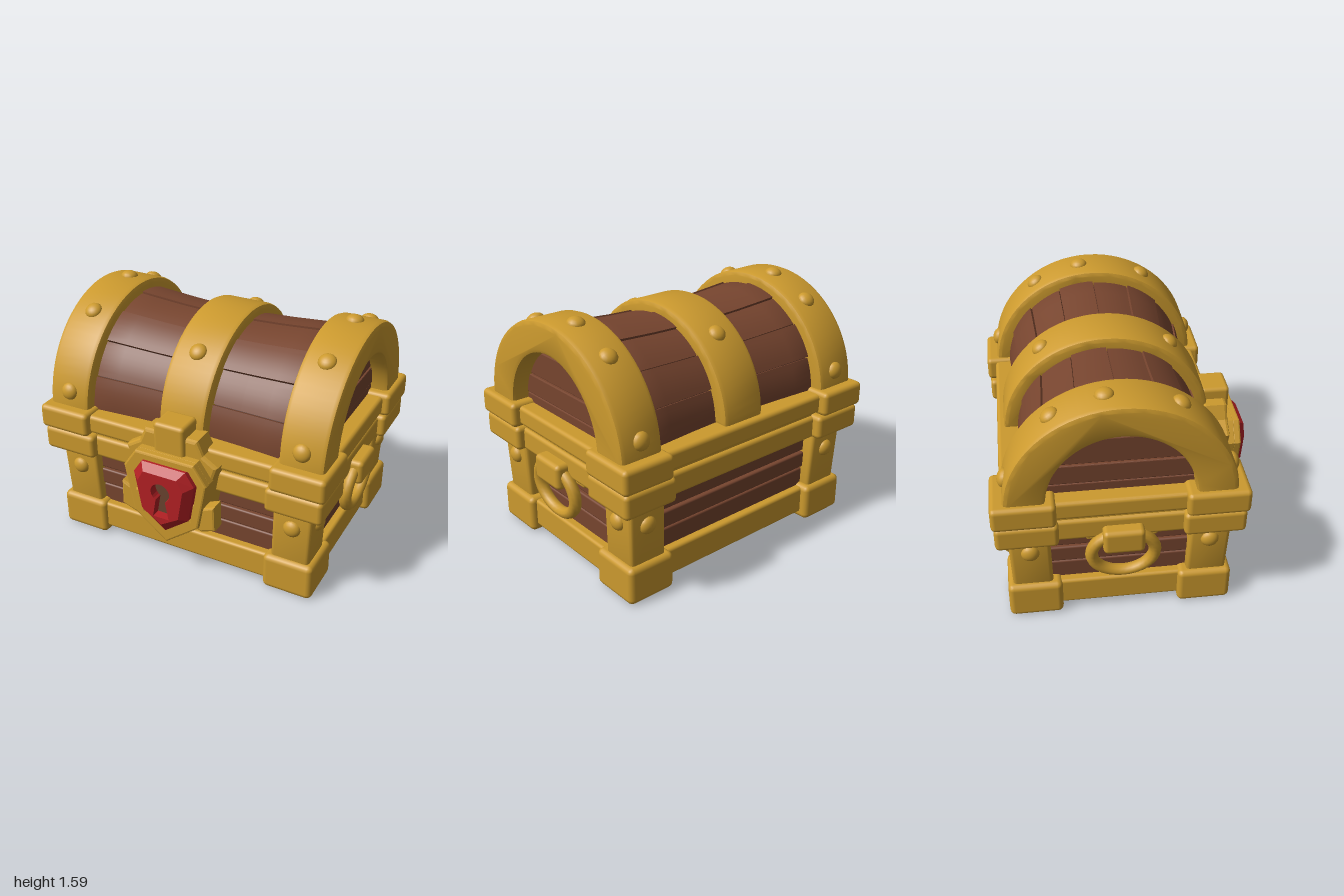
import * as THREE from 'three';
import { toCreasedNormals } from 'three/addons/utils/BufferGeometryUtils.js';
import { RoundedBoxGeometry } from 'three/addons/geometries/RoundedBoxGeometry.js';

const ZC = -0.08;   // middle of the chest front to back
const LID = 0.9;    // height where the lid's curve starts

export function createModel() {
  const root = new THREE.Group();
  const material = (name, color) => {
    const m = new THREE.MeshStandardMaterial({ color });
    m.name = name;
    return m;
  };
  const gold = material('gold', 0xcc9a2e);
  const wood = material('wood', 0x77452f);
  const seam = material('dark wood', 0x4c2b1f);
  const red = material('red gem', 0xb32024);
  const keyBrown = material('keyhole brown', 0x69432f);

  const add = (name, geometry, mat, parent = root) => {
    const mesh = new THREE.Mesh(geometry, mat);
    mesh.name = name;
    parent.add(mesh);
    return mesh;
  };
  // Rounded box given by its limits
  const box = (name, x0, x1, y0, y1, z0, z1, mat, r = 0.02) => {
    const g = new RoundedBoxGeometry(x1 - x0, y1 - y0, z1 - z0, 2, r);
    g.translate((x0 + x1) / 2, (y0 + y1) / 2, (z0 + z1) / 2);
    return add(name, g, mat);
  };
  const extrude = (shape, depth, bevel, steps = 1) => new THREE.ExtrudeGeometry(shape, {
    depth: depth - 2 * bevel, steps, bevelEnabled: bevel > 0, bevelSize: bevel,
    bevelThickness: bevel, bevelOffset: -bevel, bevelSegments: 2, curveSegments: 24,
  }).translate(0, 0, bevel);
  const bend = (g, rule) => {
    const p = g.attributes.position, v = new THREE.Vector3();
    for (let i = 0; i < p.count; i++) {
      rule(v.fromBufferAttribute(p, i));
      p.setXYZ(i, v.x, v.y, v.z);
    }
    return toCreasedNormals(g, 0.6);
  };
  // Turns a profile drawn in (-z, y) so that it runs along x from x0
  const along = (g, x0) => g.rotateY(Math.PI / 2).translate(x0, LID, ZC);
  const arc = (rz, ry, a0, a1, n) => Array.from({ length: n + 1 }, (_, i) => {
    const a = a0 + (a1 - a0) * i / n;
    return new THREE.Vector2(Math.cos(a) * rz, Math.sin(a) * ry);
  });
  const sector = (rz, ry, iz, iy, a0, a1, n) => new THREE.Shape(
    [...arc(rz, ry, a0, a1, n), ...arc(iz, iy, a1, a0, n)]);
  const bolt = (x, y, z, normal) => {
    const m = add('bolt', new THREE.SphereGeometry(0.057, 16, 6, 0, Math.PI * 2, 0, Math.PI / 2), gold);
    m.scale.y = 0.7;
    m.position.set(x, y, z);
    m.quaternion.setFromUnitVectors(new THREE.Vector3(0, 1, 0), normal.normalize());
  };

  // Base, wooden body and rim
  box('base', -0.87, 0.87, 0.045, 0.23, -0.72, 0.585, gold);
  box('bodyCore', -0.79, 0.79, 0.15, 0.65, -0.64, 0.5, seam);
  const rows = [0.2, 0.355, 0.475, 0.66];
  for (let i = 0; i < 3; i++) {
    const y0 = rows[i] + 0.005, y1 = rows[i + 1] - 0.005, out = i === 1 ? 0.008 : 0;
    box('lengthPlank', -0.7, 0.7, y0, y1, -0.67 - out, 0.53 + out, wood, 0.012);
    box('sidePlank', -0.815 - out, 0.815 + out, y0, y1, -0.56, 0.42, wood, 0.012);
  }
  box('lowerRim', -0.92, 0.92, 0.615, 0.765, -0.765, 0.615, gold, 0.025);
  box('rimGap', -0.9, 0.9, 0.75, 0.81, -0.74, 0.59, gold, 0.01);
  box('upperRim', -0.935, 0.935, 0.79, 0.915, -0.78, 0.63, gold, 0.025);

  // Corner feet, posts and rim brackets
  for (const sx of [-1, 1]) for (const sz of [-1, 1]) {
    const corner = (name, xi, xo, y0, y1, zi, zo, r) => box(name,
      Math.min(sx * xi, sx * xo), Math.max(sx * xi, sx * xo), y0, y1,
      ZC + Math.min(sz * zi, sz * zo), ZC + Math.max(sz * zi, sz * zo), gold, r);
    corner('foot', 0.58, 0.91, 0, 0.245, 0.36, 0.695, 0.035);
    const post = corner('post', 0.63, 0.885, 0.2, 0.66, 0.42, 0.67, 0.025);
    post.geometry = bend(post.geometry, v => {
      const k = 1 + (v.y - 0.5) * 0.05;
      v.x *= k;
      v.z = ZC + (v.z - ZC) * k;
    });
    corner('lowerBracket', 0.6, 0.97, 0.615, 0.775, 0.37, 0.745, 0.03);
    corner('upperBracket', 0.63, 0.985, 0.775, 0.935, 0.38, 0.758, 0.03);
    bolt(sx * 0.76, 0.49, ZC + sz * 0.665, new THREE.Vector3(0, 0, sz));
    bolt(sx * 0.88, 0.505, ZC + sz * 0.545, new THREE.Vector3(sx, 0, 0));
  }

  // Curved lid planks, dipping towards the middle
  const dip = v => {
    const k = 0.94 + 0.06 * Math.min(1, (v.x / 0.65) ** 2);
    v.y = LID + (v.y - LID) * k;
    v.z = ZC + (v.z - ZC) * k;
  };
  const core = new THREE.Shape(arc(0.58, 0.57, 0, Math.PI, 32));
  add('lidCore', bend(along(extrude(core, 1.6, 0, 8), -0.8), dip), seam);
  const planks = 8;
  for (let i = 0; i < planks; i++) {
    const a0 = Math.PI * i / planks + 0.006, a1 = Math.PI * (i + 1) / planks - 0.006;
    const out = i % 2 * 0.01;
    const s = sector(0.602 + out, 0.592 + out, 0.5, 0.49, a0, a1, 6);
    add('lidPlank', bend(along(extrude(s, 1.4, 0.012, 8), -0.7), dip), wood);
  }

  // Horizontal boards closing the lid's ends
  const levels = [0, 0.075, 0.21, 0.385, 0.51];
  for (let i = 0; i < 4; i++) {
    const R = 0.52, a0 = Math.asin((levels[i] + 0.004) / R), a1 = Math.asin((levels[i + 1] - 0.004) / R);
    const s = new THREE.Shape([...arc(R, R, a0, a1, 6), ...arc(R, R, Math.PI - a1, Math.PI - a0, 6)]);
    const g = extrude(s, 1.66 + i % 2 * 0.012, 0.006);
    add('lidEndBoard', along(g, -0.83 - i % 2 * 0.006), wood);
  }

  // Arched bands
  const band = (name, cx, width, rz, ry, iz, iy) => {
    const s = sector(rz, ry, iz, iy, 0, Math.PI, 36);
    add(name, bend(along(extrude(s, width, 0.028), cx - width / 2),
      v => { v.x = cx + (v.x - cx) * (1 + 0.13 * (v.y - LID)); }), gold);
  };
  const bandBolt = (x, z, rz, ry, y) => {
    const dz = z - ZC;
    const h = y === undefined ? ry * Math.sqrt(1 - (dz / rz) ** 2) : y - LID;
    const d = y === undefined ? dz : Math.sign(dz) * rz * Math.sqrt(1 - (h / ry) ** 2);
    bolt(x, LID + h * 0.99, ZC + d * 0.99, new THREE.Vector3(0, h / ry ** 2, d / rz ** 2));
  };
  band('middleBand', 0, 0.31, 0.657, 0.63, 0.5, 0.48);
  for (const z of [-0.48, 0.34]) bandBolt(0, z, 0.657, 0.63);
  for (const sx of [-1, 1]) {
    band('endBand', sx * 0.803, 0.285, 0.685, 0.665, 0.44, 0.465);
    for (const z of [-0.47, -0.165, 0.27]) bandBolt(sx * 0.8, z, 0.685, 0.665);
    for (const z of [-1, 1]) bandBolt(sx * 0.8, z, 0.685, 0.665, 1.035);
  }

  // Side ring handles
  for (const sx of [-1, 1]) {
    const ring = add('ringHandle', new THREE.TorusGeometry(0.192, 0.039, 10, 32), gold);
    ring.geometry.scale(1, 0.86, 1).rotateY(Math.PI / 2).rotateZ(-sx * 0.08);
    ring.position.set(sx * 0.925, 0.5, -0.07);
    const x = (a, b) => sx > 0 ? [a, b] : [-b, -a];
    box('handleMount', ...x(0.85, 1), 0.545, 0.71, -0.195, 0.055, gold, 0.03);
    box('handlePlate', ...x(0.78, 0.875), 0.56, 0.68, -0.29, 0.15, gold, 0.02);
  }

  // Lock: layered shield plates, each drawn as its +x half from top to bottom
  const mirror = half => [...half, ...half.slice().reverse().filter(p => p[0] > 0).map(([x, y]) => [-x, y])]
    .map(([x, y]) => new THREE.Vector2(x, y));
  const plate = (name, half, z0, z1, bevel, hole) => {
    const s = new THREE.Shape(mirror(half));
    if (hole) s.holes.push(new THREE.Path(mirror(hole)));
    add(name, extrude(s, z1 - z0, bevel).translate(0, 0, z0), gold);
  };
  const shield = [[0.2, 0.875], [0.285, 0.75], [0.225, 0.43], [0, 0.255]];
  const inset = [[0.175, 0.84], [0.24, 0.74], [0.19, 0.455], [0, 0.315]];
  plate('lockBackPlate', [[0.18, 0.99], [0.22, 0.9], [0.315, 0.84], [0.27, 0.7], [0.2, 0.6]], 0.54, 0.7, 0.02);
  box('lockHasp', -0.105, 0.105, 0.84, 1.065, 0.54, 0.725, gold, 0.025);
  for (const sx of [-1, 1]) {
    const w = new THREE.Shape([[0.15, 0.6], [0.24, 0.57], [0.325, 0.605], [0.33, 0.43], [0.235, 0.395], [0.15, 0.42]]
      .map(([x, y]) => new THREE.Vector2(sx * x, y)));
    add('lockWing', extrude(w, 0.1, 0.015).translate(0, 0, 0.66), gold);
  }
  plate('lockShield', shield, 0.5, 0.75, 0.012);
  plate('lockRim', shield, 0.73, 0.785, 0.012, inset);

  // Faceted gem with a sunken keyhole
  const loft = (a, za, b, zb) => {
    const pos = [];
    a.forEach((p, i) => {
      const j = (i + 1) % a.length;
      pos.push(p.x, p.y, za, b[i].x, b[i].y, zb, a[j].x, a[j].y, za);
      pos.push(a[j].x, a[j].y, za, b[i].x, b[i].y, zb, b[j].x, b[j].y, zb);
    });
    const g = new THREE.BufferGeometry();
    g.setAttribute('position', new THREE.Float32BufferAttribute(pos, 3));
    g.computeVertexNormals();
    return g;
  };
  const gemOuter = mirror([[0.15, 0.82], [0.208, 0.73], [0.165, 0.475], [0, 0.35]]);
  const gemFront = mirror([[0.115, 0.78], [0.155, 0.705], [0.12, 0.5], [0, 0.425]]);
  const keyhole = [new THREE.Vector2(-0.055, 0.475), new THREE.Vector2(0.055, 0.475),
    ...arc(0.065, 0.065, -1.05, Math.PI + 1.05, 20).map(p => p.add(new THREE.Vector2(0, 0.655)))];
  const face = new THREE.Shape(gemFront);
  face.holes.push(new THREE.Path(keyhole));
  add('gemGirdle', loft(gemOuter, 0.74, gemOuter, 0.79), red);
  add('gemFacets', loft(gemOuter, 0.79, gemFront, 0.838), red);
  add('gemFace', new THREE.ShapeGeometry(face).translate(0, 0, 0.838), red);
  add('keyholeWall', loft(keyhole, 0.78, keyhole, 0.838), red);
  add('keyhole', new THREE.ShapeGeometry(new THREE.Shape(keyhole)).translate(0, 0, 0.78), keyBrown);

  return root;
}
